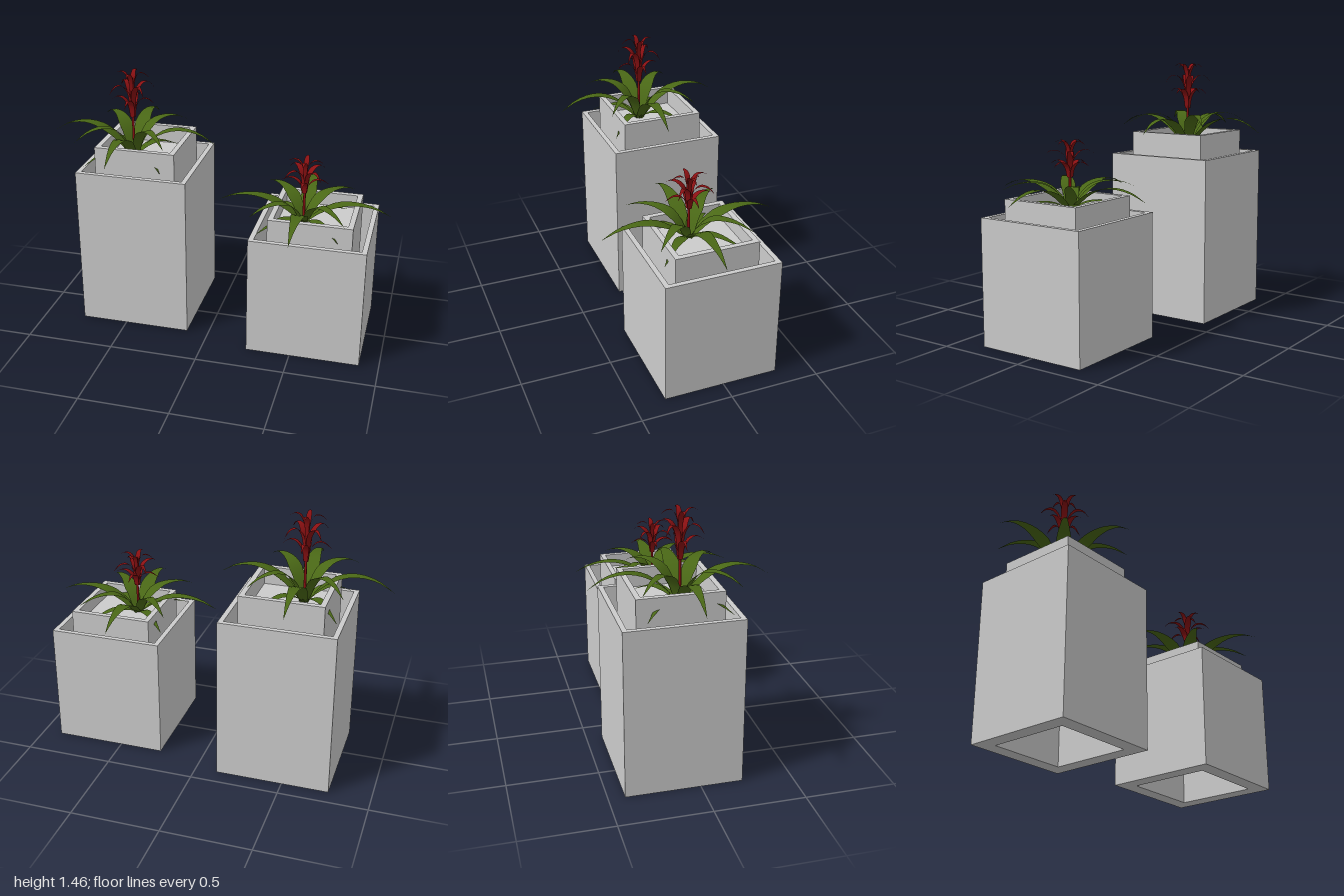
import * as THREE from 'three';

const grey = new THREE.MeshStandardMaterial({ color: 0xcccccc, side: THREE.DoubleSide });
const green = new THREE.MeshStandardMaterial({ color: 0x4a6816, side: THREE.DoubleSide });
const red = new THREE.MeshStandardMaterial({ color: 0x8a1012, side: THREE.DoubleSide });

function mesh(name, geometry, material) {
  const m = new THREE.Mesh(geometry, material);
  m.name = name;
  return m;
}

// Square vessel: a half-width/height profile turned in four flat sides
function squareVessel(name, profile) {
  const points = profile.map(([r, y]) => new THREE.Vector2(r * Math.SQRT2, y));
  const g = new THREE.LatheGeometry(points, 4).rotateY(Math.PI / 4).toNonIndexed();
  g.computeVertexNormals();
  return mesh(name, g, grey);
}

// Thin arching blade along +x: widest a third of the way out, pointed at the tip
function blade(path, halfWidth, segments = 12) {
  const curve = new THREE.CatmullRomCurve3(path.map(([r, y]) => new THREE.Vector3(r, y, 0)));
  const positions = [], index = [];
  for (let i = 0; i <= segments; i++) {
    const t = i / segments;
    const p = curve.getPoint(t);
    const w = halfWidth * (t < 0.35 ? 0.55 + 0.45 * t / 0.35 : (1 - t) / 0.65);
    positions.push(p.x, p.y, w, p.x, p.y, -w);
    if (i < segments) {
      const a = 2 * i;
      index.push(a, a + 2, a + 1, a + 1, a + 2, a + 3);
    }
  }
  const g = new THREE.BufferGeometry();
  g.setAttribute('position', new THREE.Float32BufferAttribute(positions, 3));
  g.setIndex(index);
  g.computeVertexNormals();
  return g;
}

// Four blades around the stem
function whorl(name, path, halfWidth, material, turn) {
  const group = new THREE.Group();
  group.name = name + 's';
  const g = blade(path, halfWidth);
  for (let i = 0; i < 4; i++) {
    const m = mesh(name, g, material);
    m.rotation.y = turn + i * Math.PI / 2;
    group.add(m);
  }
  return group;
}

function createPlant() {
  const plant = new THREE.Group();
  plant.name = 'plant';
  const diagonal = Math.PI / 4;

  // Leaves
  plant.add(
    whorl('longLeaf', [[0.01, 0.96], [0.1, 1.066], [0.19, 1.125], [0.285, 1.145], [0.39, 1.125], [0.483, 1.068]], 0.044, green, 0),
    whorl('upperLeaf', [[0.01, 0.96], [0.06, 1.075], [0.12, 1.142], [0.19, 1.166], [0.28, 1.155], [0.363, 1.11]], 0.042, green, diagonal),
    whorl('lowerLeaf', [[0.01, 0.965], [0.08, 1.01], [0.16, 1.022], [0.24, 0.995], [0.32, 0.953]], 0.03, green, diagonal)
  );

  // Flower stalk and its three tiers of bracts
  const stem = mesh('stem', new THREE.CylinderGeometry(0.007, 0.008, 0.25, 8), red);
  stem.position.y = 1.085;
  const spike = mesh('flowerSpike', new THREE.CylinderGeometry(0.008, 0.014, 0.23, 8), red);
  spike.position.y = 1.31;
  plant.add(
    stem, spike,
    whorl('lowerBract', [[0.012, 1.195], [0.022, 1.265], [0.055, 1.306], [0.09, 1.311], [0.135, 1.28]], 0.02, red, 0),
    whorl('middleBract', [[0.01, 1.24], [0.025, 1.34], [0.065, 1.389], [0.105, 1.387], [0.142, 1.345]], 0.02, red, diagonal),
    whorl('upperBract', [[0.008, 1.32], [0.016, 1.41], [0.042, 1.455], [0.072, 1.457], [0.1, 1.437]], 0.015, red, 0)
  );
  return plant;
}

function createPlanter(name, x, z, heightScale) {
  const planter = new THREE.Group();
  planter.name = name;
  // Outer pot with an open base, inner pot standing in it
  planter.add(
    squareVessel('outerPot', [[0.2325, 0], [0.32, 0], [0.32, 0.938], [0.292, 0.938], [0.292, 0.02], [0.2325, 0.02]]),
    squareVessel('innerPot', [[0.2325, 0], [0.2325, 1.065], [0.203, 1.065], [0.203, 0.96], [0, 0.96]])
  );
  const plant = createPlant();
  plant.position.set(-0.065, 0, 0.037);
  planter.add(plant);
  planter.position.set(x, 0, z);
  planter.scale.y = heightScale;
  return planter;
}

export function createModel() {
  const model = new THREE.Group();
  model.name = 'planters';
  model.add(
    createPlanter('tallPlanter', -0.445, -0.09, 1),
    createPlanter('shortPlanter', 0.571, 0.012, 0.738)
  );
  return model;
}
